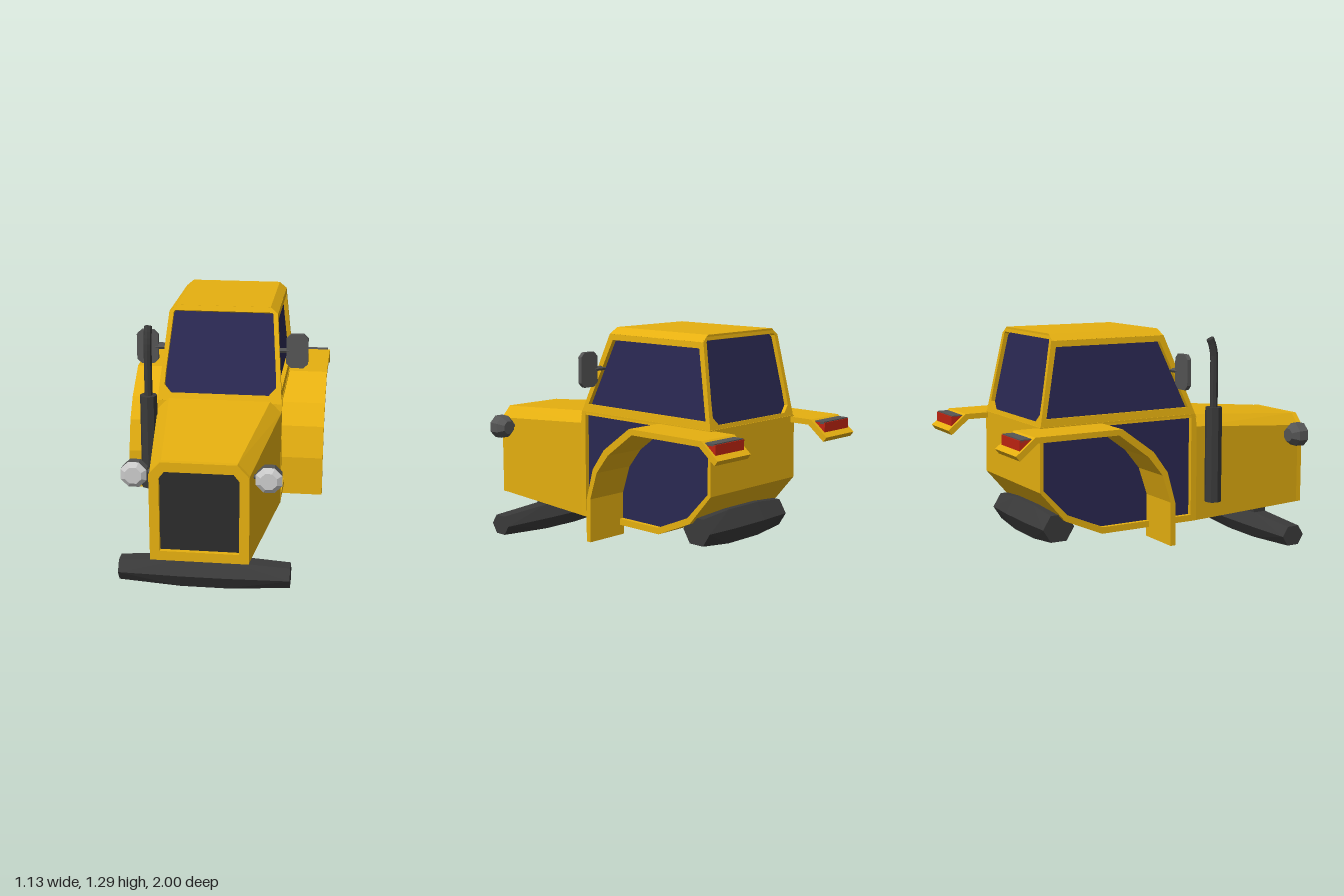
import * as THREE from 'three';
import { ConvexGeometry } from 'three/addons/geometries/ConvexGeometry.js';

const mat = (color) => new THREE.MeshStandardMaterial({ color, flatShading: true });
const V = (x, y, z) => new THREE.Vector3(x, y, z);
const poly = (pts) => pts.map(([x, y]) => new THREE.Vector2(x, y));

export function createModel() {
  const model = new THREE.Group();
  const yellow = mat(0xe6b010), glass = mat(0x2a2852), dark = mat(0x3a3a3a), grilleGrey = mat(0x2c2c2c);
  const grey = mat(0x555555), lensGrey = mat(0xc4c4c4), red = mat(0xc02412);

  const add = (name, geometry, material, x = 0, y = 0, z = 0) => {
    const mesh = new THREE.Mesh(geometry, material);
    mesh.name = name;
    mesh.position.set(x, y, z);
    model.add(mesh);
    return mesh;
  };
  // Outline in (x, y), extruded from z0 to z1
  const frontExtrude = (pts, z0, z1, hole) => {
    const shape = new THREE.Shape(poly(pts));
    if (hole) shape.holes.push(new THREE.Path(poly(hole)));
    return new THREE.ExtrudeGeometry(shape, { depth: z1 - z0, bevelEnabled: false }).translate(0, 0, z0);
  };
  // Outline in (z, y), extruded from x0 to x1
  const sideExtrude = (pts, x0, x1, hole) =>
    frontExtrude(pts, 0, x1 - x0, hole).rotateY(-Math.PI / 2).translate(x1, 0, 0);
  // Symmetric outline from its +x half, listed bottom to top
  const mirrored = (half) => [...half, ...half.map(([x, y]) => [-x, y]).reverse()];

  // Hood with chamfered top edges, widening toward the cab
  const noseHalf = [[0.25, 0.22], [0.25, 0.68], [0.19, 0.745]];
  const rearHalf = [[0.343, 0.22], [0.343, 0.75], [0.28, 0.81]];
  add('hood', new ConvexGeometry([
    ...mirrored(noseHalf).map(([x, y]) => V(x, y, 0.97)),
    ...mirrored(rearHalf).map(([x, y]) => V(x, y, 0.19)),
  ]), yellow);
  const grille = mirrored([[0.2, 0.27], [0.2, 0.66], [0.172, 0.695]]);
  add('grilleFrame', frontExtrude(mirrored(noseHalf), 0.97, 1, grille), yellow);
  add('grille', frontExtrude(grille, 0.96, 0.975), grilleGrey);

  // Lower cab: solid core, side panes and recessed door frames
  const lower = [[0.195, 0.22], [0.195, 0.75], [0.185, 0.82], [-0.757, 0.82], [-0.762, 0.48], [-0.62, 0.315], [-0.4, 0.22]];
  const doorPane = [[0.16, 0.255], [0.16, 0.81], [-0.74, 0.81], [-0.742, 0.49], [-0.605, 0.345], [-0.395, 0.255]];
  add('lowerCab', sideExtrude(lower, -0.315, 0.315), yellow);
  for (const s of [-1, 1]) {
    const span = (a, b) => (s > 0 ? [a, b] : [-b, -a]);
    add('doorGlass', sideExtrude(doorPane, ...span(0.31, 0.319)), glass);
    add('doorFrame', sideExtrude(lower, ...span(0.314, 0.344), doorPane), yellow);
  }

  // Upper cab: glass core inside tilted window frames
  add('cabGlass', new ConvexGeometry([-1, 1].flatMap((s) => [
    V(s * 0.318, 0.8, 0.165), V(s * 0.318, 0.8, -0.733),
    V(s * 0.278, 1.24, -0.015), V(s * 0.278, 1.24, -0.645),
    V(s * 0.245, 1.275, -0.03), V(s * 0.245, 1.275, -0.64),
  ])), glass);
  const endOutline = [[0.342, -0.01], [0.301, 0.445], [0.26, 0.48]];
  const endWindow = [[0.27, 0.03], [0.308, 0.07], [0.288, 0.43], [0.27, 0.452]];
  const stretch = (half, k) => mirrored(half.map(([x, y]) => [x, y * k]));
  const windshield = add('windshieldFrame',
    frontExtrude(stretch(endOutline, 1.083), -0.025, 0, stretch(endWindow, 1.083)), yellow, 0, 0.81, 0.19);
  windshield.rotation.x = -Math.atan(0.417);
  const rearFrame = add('rearWindowFrame',
    frontExtrude(stretch(endOutline, 1.02), 0, 0.025, stretch(endWindow, 1.02)), yellow, 0, 0.81, -0.755);
  rearFrame.rotation.x = Math.atan(0.198);
  const sideOutline = [[0.194, -0.01], [0.005, 0.448], [-0.667, 0.448], [-0.757, -0.01]];
  const sideWindow = [[0.14, 0.05], [-0.02, 0.415], [-0.642, 0.415], [-0.718, 0.05]];
  for (const s of [-1, 1]) {
    const range = s > 0 ? [-0.025, 0] : [0, 0.025];
    const frame = add('sideWindowFrame', sideExtrude(sideOutline, ...range, sideWindow), yellow, s * 0.342, 0.81, 0);
    frame.rotation.z = s * Math.atan(0.092);
  }
  add('roof', frontExtrude([
    [0.302, 1.255], [0.26, 1.29], [-0.26, 1.29], [-0.302, 1.255],
    [-0.285, 1.25], [-0.25, 1.278], [0.25, 1.278], [0.285, 1.25],
  ], -0.662, -0.01), yellow);

  // Rear fenders with tail lights
  const fender = [
    [-0.08, 0.165], [-0.08, 0.39], [-0.13, 0.565], [-0.215, 0.68], [-0.4, 0.815], [-0.89, 0.815], [-0.995, 0.73],
    [-0.975, 0.705], [-0.875, 0.785], [-0.42, 0.785], [-0.245, 0.655], [-0.16, 0.55], [-0.11, 0.4], [-0.11, 0.165],
  ];
  for (const s of [-1, 1]) {
    const span = (a, b) => (s > 0 ? [a, b] : [-b, -a]);
    add('fender', sideExtrude(fender, ...span(0.315, 0.565)), yellow);
    add('tailLight', sideExtrude([[-0.9, 0.803], [-0.968, 0.803], [-0.968, 0.745]], ...span(0.335, 0.55)), red);
    add('tailLightCover', sideExtrude([[-0.903, 0.795], [-0.903, 0.808], [-0.962, 0.808], [-0.962, 0.795]],
      ...span(0.335, 0.55)), grey);
  }

  // Six-sided axle beams, tapering to the ends
  const axle = (name, half, mid, rz, ry, taper, y, z) => {
    const pts = [];
    for (const [x, k] of [[half, taper], [mid, 1], [-mid, 1], [-half, taper]]) {
      for (let i = 0; i < 6; i++) {
        const a = i * Math.PI / 3;
        pts.push(V(x, Math.sin(a) / 0.866 * ry * k, Math.cos(a) * rz * (k + 1) / 2));
      }
    }
    add(name, new ConvexGeometry(pts), dark, 0, y, z);
  };
  axle('frontAxle', 0.445, 0.12, 0.083, 0.075, 0.74, 0.075, 0.8);
  axle('rearAxle', 0.318, 0.12, 0.102, 0.092, 0.78, 0.275, -0.645);
  add('frontAxlePost', new THREE.BoxGeometry(0.24, 0.12, 0.08), dark, 0, 0.17, 0.8);

  // Headlights and mirrors
  const lathe = (pts) => new THREE.LatheGeometry(poly(pts), 8, Math.PI / 8).rotateX(Math.PI / 2);
  const mirrorShape = mirrored([[0.035, -0.095], [0.06, -0.07], [0.06, 0.07], [0.035, 0.095]]);
  for (const s of [-1, 1]) {
    add('headlight', lathe([[0, -0.055], [0.04, -0.055], [0.068, -0.015], [0.071, 0.04]]), grey, s * 0.338, 0.645, 0.885);
    add('headlightLens', lathe([[0.071, 0.04], [0.045, 0.06], [0, 0.06]]), lensGrey, s * 0.338, 0.645, 0.885);
    add('headlightMount', new THREE.CylinderGeometry(0.013, 0.013, 0.08, 6).rotateZ(Math.PI / 2), grey, s * 0.27, 0.645, 0.88);
    add('mirror', frontExtrude(mirrorShape, -0.012, 0.012), grey, s * 0.415, 1.066, 0.058);
    add('mirrorArm', new THREE.CylinderGeometry(0.014, 0.014, 0.08, 6).rotateZ(Math.PI / 2), grey, s * 0.33, 1.066, 0.058);
  }

  // Exhaust: muffler and a pipe bent backward at the tip
  add('muffler', new THREE.CylinderGeometry(0.047, 0.047, 0.53, 8), dark, -0.375, 0.59, 0.285);
  const pipe = new THREE.CurvePath();
  const p = [V(-0.375, 0.85, 0.285), V(-0.375, 1.13, 0.285), V(-0.375, 1.19, 0.28), V(-0.375, 1.232, 0.257)];
  pipe.add(new THREE.LineCurve3(p[0], p[1]));
  pipe.add(new THREE.QuadraticBezierCurve3(p[1], p[2], p[3]));
  add('exhaustPipe', new THREE.TubeGeometry(pipe, 12, 0.022, 8), dark);
  const cap = add('exhaustTip', new THREE.CircleGeometry(0.022, 8), dark, p[3].x, p[3].y, p[3].z);
  cap.lookAt(p[3].clone().add(pipe.getTangent(1)));
  return model;
}
